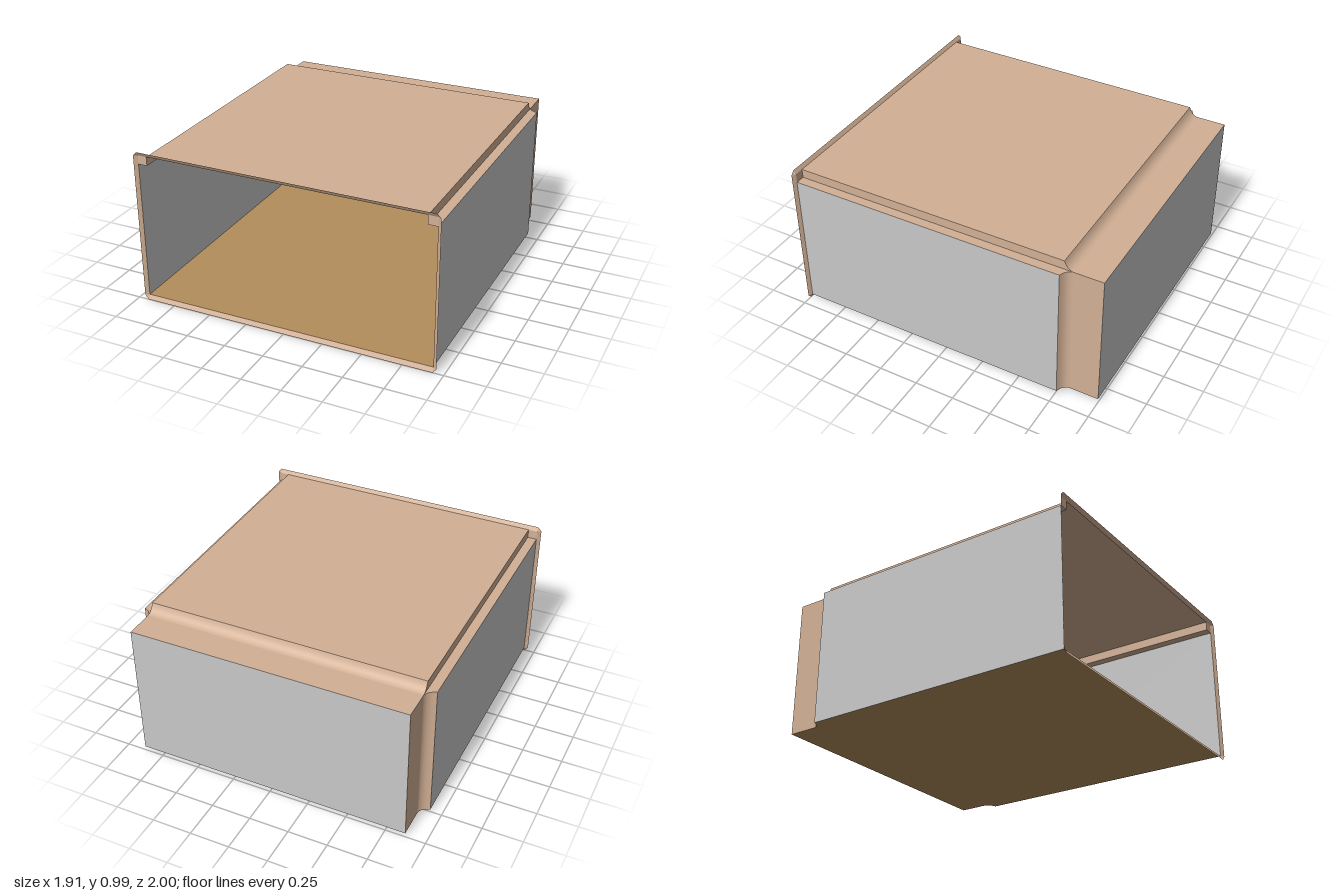
import * as THREE from 'three';

const W = 0.933, N = 0.875;            // half widths: main body, narrow parts
const Y0 = 0.028, Y1 = 0.905, Y2 = 0.962; // floor, shoulder, raised top
const ZF = 0.985, ZS = -0.76, ZE = -0.815, ZB = -1; // front, step start, step end, back

export function createModel() {
  const model = new THREE.Group();
  const material = (name, color) => {
    const m = new THREE.MeshStandardMaterial({ color, side: THREE.DoubleSide });
    m.name = name;
    return m;
  };
  const tan = material('tan', 0xd2b095);
  const grey = material('grey', 0xc8c8c8);
  const gold = material('gold', 0xb28e5c);

  const add = (name, geometry, mat) => {
    const mesh = new THREE.Mesh(geometry, mat);
    mesh.name = name;
    model.add(mesh);
  };

  // Surface spanned between two matching rows of points
  const strip = (a, b, flat = false) => {
    const g = new THREE.BufferGeometry();
    g.setAttribute('position', new THREE.Float32BufferAttribute([...a, ...b].flat(), 3));
    const index = [], n = a.length;
    for (let i = 0; i < n - 1; i++) index.push(i, n + i, i + 1, i + 1, n + i, n + i + 1);
    g.setIndex(index);
    const out = flat ? g.toNonIndexed() : g;
    out.computeVertexNormals();
    return out;
  };

  // Flat panel from a 2D outline
  const panel = (pts) => new THREE.ShapeGeometry(
    new THREE.Shape(pts.map(([x, y]) => new THREE.Vector2(x, y))));

  // Concave step profile: [outward offset 0..1, z]
  const step = new THREE.QuadraticBezierCurve(
    new THREE.Vector2(1, ZS), new THREE.Vector2(0.12, ZS - 0.017), new THREE.Vector2(0, ZE),
  ).getPoints(8).map((p) => [p.x, p.y]);
  const side = step.map(([t, z]) => [N + t * (W - N), z]);
  const roof = step.map(([t, z]) => [Y1 + t * (Y2 - Y1), z]);

  // Floor follows the stepped plan
  const plan = [[W, ZF], ...side, [N, ZB]];
  const mirrored = plan.map(([x, z]) => [-x, z]).reverse();
  add('floor', panel([...plan, ...mirrored]).rotateX(Math.PI / 2).translate(0, Y0, 0), gold);

  // Back wall
  add('backWall', panel([[-N, Y0], [N, Y0], [N, Y1], [-N, Y1]]).translate(0, 0, ZB), grey);

  // Raised top, curved step and low rear top
  const across = (line) => strip(line.map(([y, z]) => [-N, y, z]), line.map(([y, z]) => [N, y, z]));
  add('topPanel', across([[Y2, ZF], [Y2, ZS]]), tan);
  add('topStep', across(roof), tan);
  add('rearTop', across([[Y1, ZE], [Y1, ZB]]), tan);

  for (const s of [1, -1]) {
    const label = s > 0 ? 'left' : 'right';
    const upright = (line) => strip(line.map(([x, z]) => [s * x, Y0, z]), line.map(([x, z]) => [s * x, Y1, z]));
    add(label + 'Wall', upright([[W, ZF], [W, ZS]]), grey);
    add(label + 'Step', upright(side), tan);
    add(label + 'RearWall', upright([[N, ZE], [N, ZB]]), tan);

    // Shoulder ledge and the riser up to the top panel
    add(label + 'Shoulder', panel([[N, ZF], ...side].map(([x, z], i) => [s * x, z])
      .toSpliced(1, 0, [s * W, ZF])).rotateX(Math.PI / 2).translate(0, Y1, 0), tan);
    const riser = [[Y2, ZF], ...roof];
    add(label + 'Riser', strip(riser.map(([, z]) => [s * N, Y1, z]),
      riser.map(([y, z]) => [s * N, y, z])), tan);

    // Plate closing the notch behind the front rim
    add(label + 'CornerPlate', panel([[s * N, Y1], [s * W, Y1], [s * W, Y2], [s * N, Y2]])
      .translate(0, 0, ZF), tan);
  }

  // Flared front rim with cut corners
  const X = 0.956, T = 0.987, ZR = 1;
  const inner = [[W, Y0], [W, Y2], [W, Y2], [-W, Y2], [-W, Y2], [-W, Y0], [-W, Y0], [W, Y0], [W, Y0]];
  const outer = [[X, Y0], [X, Y2], [W, T], [-W, T], [-X, Y2], [-X, Y0], [-W, 0], [W, 0], [X, Y0]];
  add('frontRim', strip(inner.map(([x, y]) => [x, y, ZF]), outer.map(([x, y]) => [x, y, ZR]), true), tan);

  return model;
}
